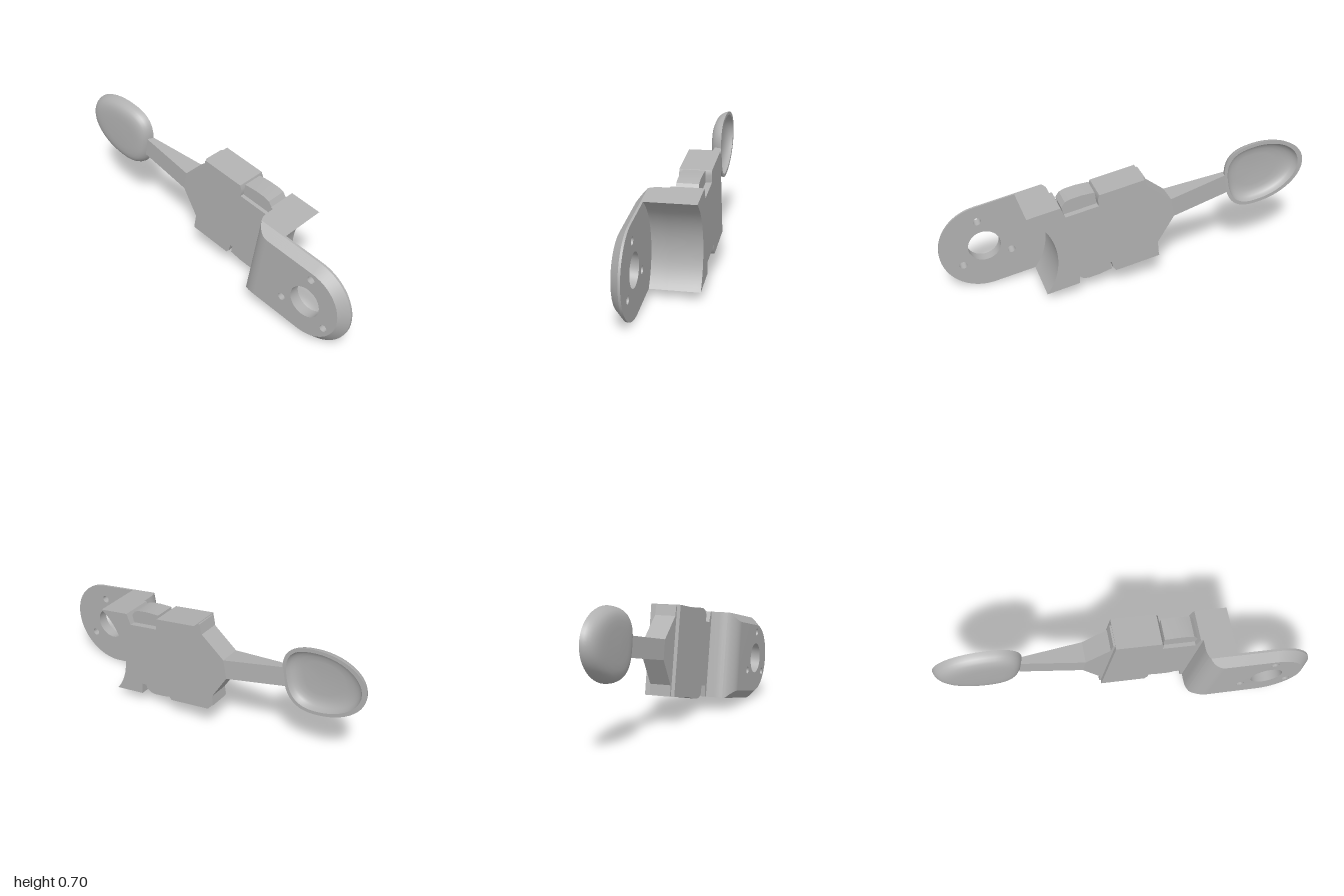
import * as THREE from 'three';
import { mergeGeometries, toCreasedNormals } from 'three/addons/utils/BufferGeometryUtils.js';

// Parts are drawn as side profiles (u along the tool, v up) and given thickness along x.
const H = 0.244;      // half height of the body
const CUT = 0.333;    // radius of the round cut beside the flange
const vec = ([x, y]) => new THREE.Vector2(x, y);

// Skin through a stack of rings {pts, x}; counterclockwise rings face outward
function loft(rings) {
  const n = rings[0].pts.length, pos = [], idx = [];
  rings.forEach(r => r.pts.forEach(p => pos.push(p[0], p[1], r.x)));
  for (let k = 0; k < rings.length - 1; k++) {
    for (let i = 0; i < n; i++) {
      const a = k * n + i, b = k * n + (i + 1) % n;
      idx.push(a, b, b + n, a, b + n, a + n);
    }
  }
  const g = new THREE.BufferGeometry();
  g.setAttribute('position', new THREE.Float32BufferAttribute(pos, 3));
  g.setIndex(idx);
  return g;
}

// Flat face with holes, facing +x or -x
function cap(pts, holes, x, up) {
  const s = new THREE.Shape(pts.map(vec));
  s.holes = holes.map(h => new THREE.Path(h.map(vec)));
  const g = new THREE.ShapeGeometry(s);
  g.translate(0, 0, x);
  if (!up) g.setIndex(Array.from(g.index.array).reverse());
  return g;
}

function slab(pts, x0, x1) {
  const g = new THREE.ExtrudeGeometry(new THREE.Shape(pts.map(vec)), { depth: x1 - x0, bevelEnabled: false });
  return g.translate(0, 0, x0);
}

function circle(cu, cv, r, n) {
  return Array.from({ length: n }, (_, i) => {
    const a = -i / n * Math.PI * 2;
    return [cu + r * Math.cos(a), cv + r * Math.sin(a)];
  });
}

// Concave arc of the round cut, from top to bottom
function cutArc() {
  const a0 = Math.asin(H / CUT), n = 24;
  return Array.from({ length: n + 1 }, (_, i) => {
    const a = a0 * (1 - 2 * i / n);
    return [CUT * Math.cos(a), CUT * Math.sin(a)];
  });
}

// Rear end of the bend at each x
function bendEnd(x) {
  const d = Math.max(0, -0.06 - x);
  return 0.29 + Math.sqrt(Math.max(0, 0.103 ** 2 - d * d));
}

// Round-ended flange outline, chamfered towards the outer side
function flangeOutline(x) {
  const h = H - Math.max(0, -0.117 - x), e = bendEnd(x), pts = [];
  for (let i = 0; i <= 36; i++) {
    const a = Math.PI * (0.5 + i / 36);
    pts.push([h * Math.cos(a), h * Math.sin(a)]);
  }
  return [...pts, [e, -h], [e, h]];
}

export function createModel() {
  const grey = new THREE.MeshStandardMaterial({ color: 0xb0b0b0 });
  grey.name = 'grey';
  const model = new THREE.Group();
  model.name = 'spoonTool';
  model.position.set(0, 0.248, 0.755);
  model.rotation.x = 0.1824;

  function add(name, geos) {
    const parts = geos.map(g => {
      const p = g.index ? g.toNonIndexed() : g;
      p.deleteAttribute('uv');
      p.deleteAttribute('normal');
      return p;
    });
    const g = toCreasedNormals(mergeGeometries(parts), 0.5);
    g.rotateY(Math.PI / 2);
    const m = new THREE.Mesh(g, grey);
    m.name = name;
    model.add(m);
  }

  // Flange with one large and three small holes
  const holes = [circle(0, 0, 0.088, 40)];
  for (const [z, y] of [[0.783, 0.402], [0.877, 0.147], [0.612, 0.197]]) {
    const dz = 0.755 - z, dy = y - 0.248;
    holes.push(circle(dz * 0.983 + dy * 0.181, dy * 0.983 - dz * 0.181, 0.021, 20));
  }
  const levels = [];
  for (let t = 0; t < 1.0; t += 0.1) {
    const x = -0.06 - 0.103 * Math.cos(t);
    if (x < -0.118) levels.push(x);
  }
  levels.push(-0.117, -0.105);
  add('flange', [
    loft(levels.map(x => ({ pts: flangeOutline(x), x }))),
    cap(flangeOutline(-0.163), holes, -0.163, false),
    cap(flangeOutline(-0.105), holes, -0.105, true),
    ...holes.map(h => loft([{ pts: h, x: -0.163 }, { pts: h, x: -0.105 }])),
  ]);

  // Bend joining flange and body
  const arc = cutArc();
  add('bend', [loft([-0.105, -0.09, -0.075, -0.06, -0.01].map(x => ({
    pts: [...arc, [bendEnd(x), -H], [bendEnd(x), H]], x,
  })))]);

  // Body with a clip notch above and below
  const notch = [[0.407, H], [0.421, 0.182], [0.6, 0.182], [0.602, 0.222], [0.615, H]];
  add('body', [slab([
    ...arc,
    ...notch.map(([u, v]) => [u, -v]),
    [0.862, -H], [0.862, H],
    ...notch.slice().reverse(),
  ], -0.01, 0.16)]);

  // Clips sitting in the notches
  const clip = [[0.42, 0.178], [0.598, 0.178], [0.6, 0.248], [0.53, 0.256], [0.47, 0.256], [0.44, 0.249], [0.416, 0.225]];
  for (const s of [1, -1]) {
    add(s > 0 ? 'upperClip' : 'lowerClip', [slab(clip.map(([u, v]) => [u, v * s]), 0.012, 0.127)]);
  }

  // Handle: flared base, then a neck that narrows towards the bowl
  const half = [[0.85, 0.24], [0.872, 0.24], [0.876, 0.183], [0.99, 0.054]];
  add('handleBase', [slab([...half.map(([u, v]) => [u, -v]), ...half.slice().reverse()], 0.01, 0.127)]);
  const neck = new THREE.BoxGeometry(0.337, 0.108, 1).translate(0.99 + 0.1685, 0, 0);
  const p = neck.attributes.position;
  for (let i = 0; i < p.count; i++) {
    const far = p.getX(i) > 1.1, up = p.getZ(i) > 0;
    p.setZ(i, far ? (up ? 0.079 : 0.042) : (up ? 0.127 : 0.01));
  }
  add('handleNeck', [neck]);

  // Spoon bowl: blunt near the handle, longer towards the tip
  const egg = s => Array.from({ length: 56 }, (_, i) => {
    const a = i / 56 * Math.PI * 2, c = Math.cos(a), d = Math.sin(a);
    const e = c < 0 ? 2 / 2.7 : 1;
    const u = Math.sign(c) * Math.abs(c) ** e * (c < 0 ? 0.185 : 0.277);
    return [1.5 + s * u, s * 0.184 * Math.sign(d) * Math.abs(d) ** e];
  });
  const section = [
    [0.001, 0.01], [0.45, 0.011], [0.62, 0.013], [0.74, 0.017], [0.83, 0.024], [0.89, 0.033], [0.945, 0.047], [0.98, 0.062], [1, 0.08],
    [0.9, 0.08], [0.875, 0.066], [0.83, 0.053], [0.76, 0.043], [0.66, 0.035], [0.5, 0.031], [0.001, 0.03],
  ];
  add('spoonBowl', [loft(section.map(([s, x]) => ({ pts: egg(s), x })))]);

  const root = new THREE.Group();
  root.name = 'model';
  root.add(model);
  return root;
}
